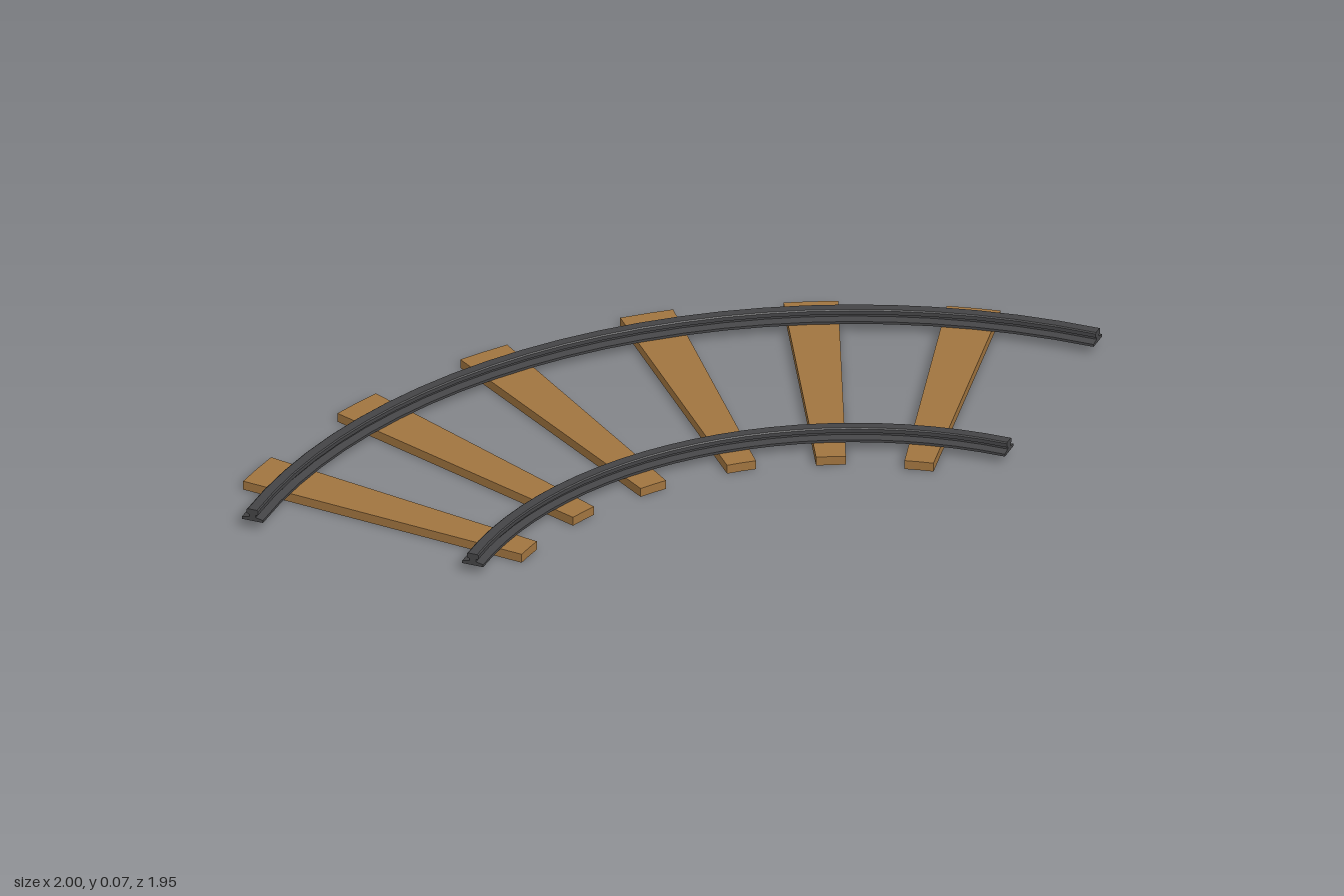
import * as THREE from 'three';

const CX = 1, CZ = 0.975; // centre of the curve
const rad = THREE.MathUtils.degToRad;

// Sweeps a (radius, height) profile around the curve centre between two angles
function sweep(points, from, to, steps, material, name) {
  const shape = new THREE.Shape(points.map(([r, y]) => new THREE.Vector2(r, y)));
  const geo = new THREE.ExtrudeGeometry(shape, { depth: 1, steps, bevelEnabled: false });
  const p = geo.attributes.position;
  for (let i = 0; i < p.count; i++) {
    const r = p.getX(i), a = rad(from + (to - from) * p.getZ(i));
    p.setXYZ(i, CX - r * Math.cos(a), p.getY(i), CZ - r * Math.sin(a));
  }
  geo.computeVertexNormals();
  const mesh = new THREE.Mesh(geo, material);
  mesh.name = name;
  return mesh;
}

export function createModel() {
  const group = new THREE.Group();
  group.name = 'curvedTrack';
  const steel = new THREE.MeshStandardMaterial({ color: 0x444446, flatShading: true });
  const wood = new THREE.MeshStandardMaterial({ color: 0xa0743f, flatShading: true });

  // Rails: wide foot, thin web and head
  const half = [[0.033, 0.028], [0.033, 0.036], [0.010, 0.041], [0.010, 0.048], [0.018, 0.051], [0.018, 0.063], [0.014, 0.066]];
  const profile = [...half, ...half.map(([x, y]) => [-x, y]).reverse()];
  for (const [name, radius] of [['outerRail', 1.888], ['innerRail', 1.198]]) {
    group.add(sweep(profile.map(([x, y]) => [radius + x, y]), 0, 90, 24, steel, name));
  }

  // Wedge-shaped sleepers: angle, inner radius, outer radius
  const sleepers = [
    [8.15, 1.095, 2.01], [21.9, 1.095, 2.01], [35.5, 1.09, 2.007],
    [50.5, 1.095, 2.01], [64.35, 1.083, 1.99], [78.1, 1.067, 1.978],
  ];
  sleepers.forEach(([angle, r0, r1], i) => {
    const section = [[r0, 0], [r1, 0], [r1, 0.028], [r0, 0.028]];
    group.add(sweep(section, angle - 2.3, angle + 2.3, 2, wood, `sleeper${i + 1}`));
  });
  return group;
}
